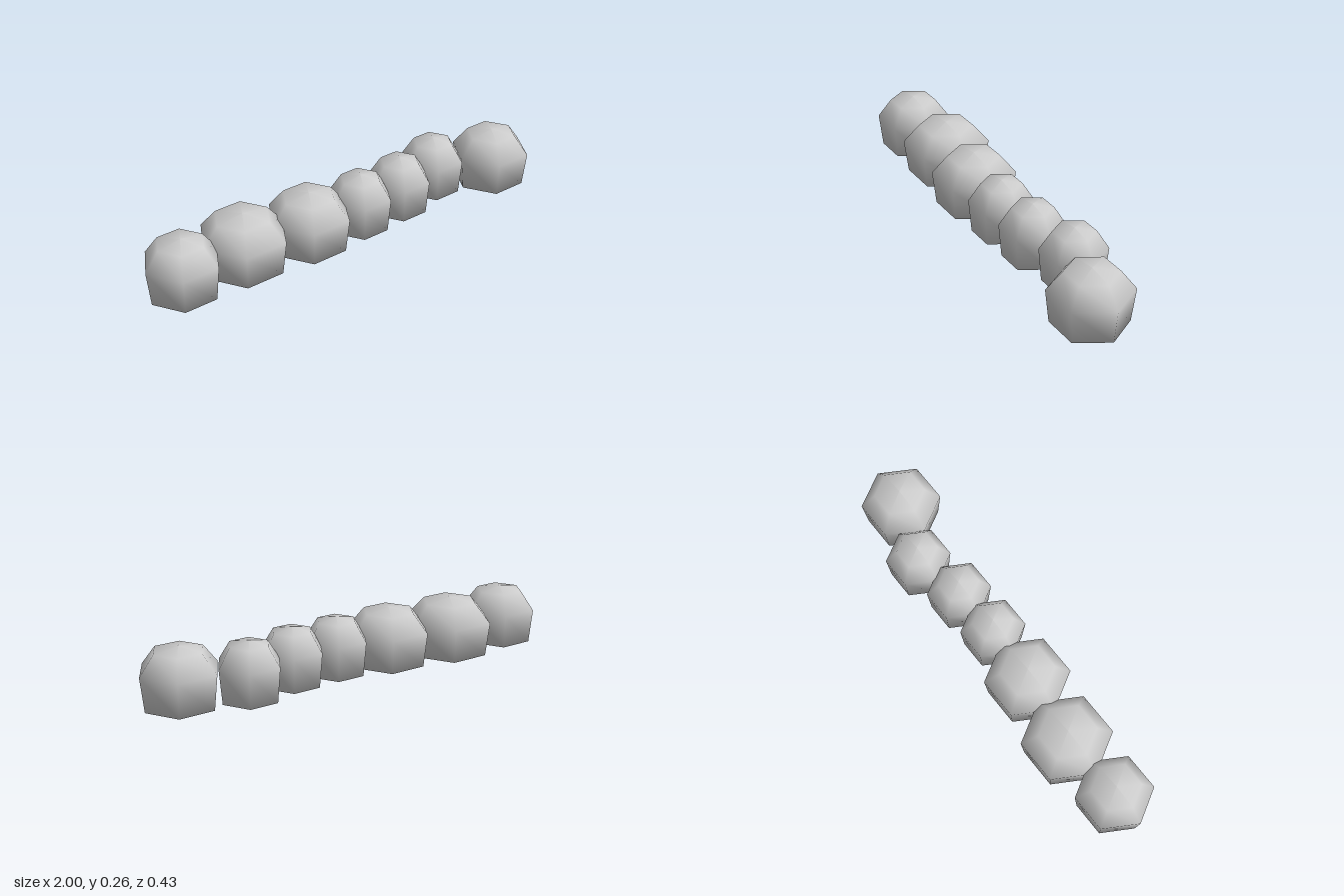
import * as THREE from 'three';

export function createModel() {
  const group = new THREE.Group();
  group.name = 'hedgeRow';
  const material = new THREE.MeshStandardMaterial({ color: 0xcccccc });

  // Shared bush profile: radius as a share of the widest ring, and height
  const profile = [[0, 0], [0.905, 0], [1, 0.155], [0.633, 0.24], [0, 0.257]];

  // Each bush: x, z, radius
  const bushes = [
    [-0.83, -0.036, 0.17],
    [-0.52, -0.044, 0.2],
    [-0.2, -0.007, 0.19],
    [0.07, 0.013, 0.145],
    [0.305, 0.004, 0.144],
    [0.547, -0.043, 0.146],
    [0.819, 0.061, 0.181],
  ];

  // Six-sided rounded bushes with a flat base, corners pointing along x
  bushes.forEach(([x, z, radius], i) => {
    const points = profile.map(([r, y]) => new THREE.Vector2(r * radius, y));
    const bush = new THREE.Mesh(new THREE.LatheGeometry(points, 6, Math.PI / 2), material);
    bush.name = `bush${i + 1}`;
    bush.position.set(x, 0, z);
    group.add(bush);
  });
  return group;
}
